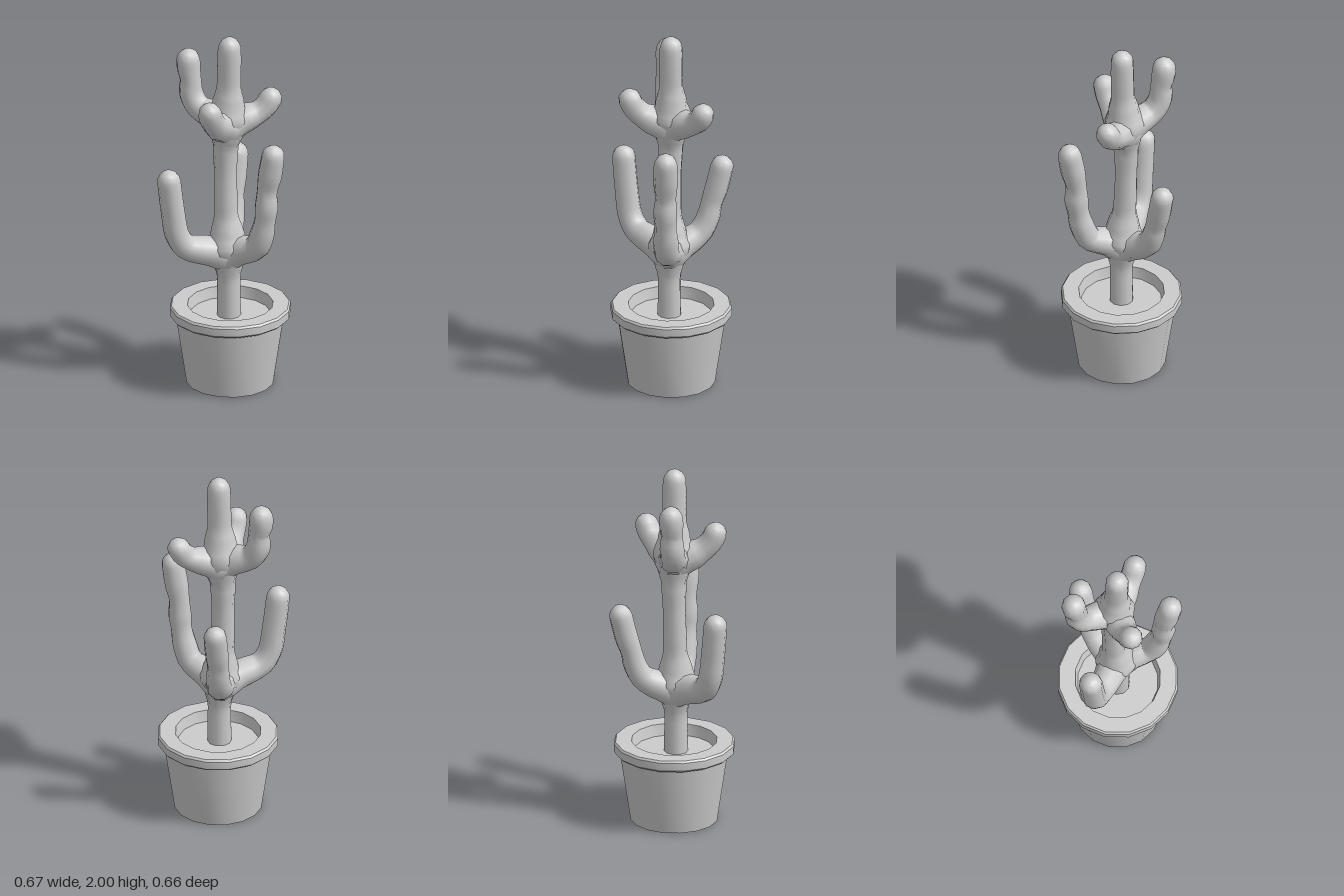
import * as THREE from 'three';
import { toCreasedNormals } from 'three/addons/utils/BufferGeometryUtils.js';

const SIDES = 10;
const material = new THREE.MeshStandardMaterial({ color: 0xcccccc, side: THREE.DoubleSide });

// Sweeps a round section along points [x, y, z, radius] and closes the end with a dome.
function limb(name, points, side) {
  const curve = new THREE.CatmullRomCurve3(points.map(([x, y, z]) => new THREE.Vector3(x, y, z)));
  const length = curve.getLength();
  const tipRadius = points[points.length - 1][3];
  const radiusAt = (u) => {
    const f = curve.getUtoTmapping(u) * (points.length - 1);
    const i = Math.min(Math.floor(f), points.length - 2);
    const k = THREE.MathUtils.smoothstep(f - i, 0, 1);
    return THREE.MathUtils.lerp(points[i][3], points[i + 1][3], k);
  };

  // Stations along the body, then shrinking stations over the dome
  const stations = [];
  const bodyEnd = 1 - tipRadius / length;
  const bodySteps = Math.ceil(length / 0.035);
  for (let i = 0; i <= bodySteps; i++) {
    const u = (bodyEnd * i) / bodySteps;
    stations.push([u, radiusAt(u)]);
  }
  for (let i = 1; i < 4; i++) {
    const a = (i * Math.PI) / 8;
    stations.push([bodyEnd + (1 - bodyEnd) * Math.sin(a), tipRadius * Math.cos(a)]);
  }

  const positions = [];
  const index = [];
  stations.forEach(([u, r], row) => {
    const centre = curve.getPointAt(u);
    const tangent = curve.getTangentAt(u);
    const normal = side.clone().addScaledVector(tangent, -side.dot(tangent)).normalize();
    const binormal = new THREE.Vector3().crossVectors(tangent, normal);
    for (let j = 0; j < SIDES; j++) {
      const a = (j / SIDES) * Math.PI * 2;
      const p = centre.clone()
        .addScaledVector(normal, Math.cos(a) * r)
        .addScaledVector(binormal, Math.sin(a) * r);
      positions.push(p.x, p.y, p.z);
      if (row > 0) {
        const k = (j + 1) % SIDES;
        const lo = (row - 1) * SIDES;
        const hi = row * SIDES;
        index.push(lo + j, lo + k, hi + j, lo + k, hi + k, hi + j);
      }
    }
  });
  const tip = curve.getPointAt(1);
  positions.push(tip.x, tip.y, tip.z);
  const last = (stations.length - 1) * SIDES;
  for (let j = 0; j < SIDES; j++) index.push(last + j, last + ((j + 1) % SIDES), last + SIDES);

  const geometry = new THREE.BufferGeometry();
  geometry.setAttribute('position', new THREE.Float32BufferAttribute(positions, 3));
  geometry.setIndex(index);
  geometry.computeVertexNormals();
  const mesh = new THREE.Mesh(geometry, material);
  mesh.name = name;
  return mesh;
}

// An arm leaves the trunk sideways, so its section is framed across its heading.
function arm(name, points) {
  const [a, b] = [points[0], points[points.length - 1]];
  return limb(name, points, new THREE.Vector3(b[2] - a[2], 0, a[0] - b[0]).normalize());
}

function createPot() {
  const pot = new THREE.Group();
  pot.name = 'pot';
  pot.position.set(-0.01, 0, -0.01);

  // Tapered wall, overhanging rim and inner wall
  const profile = [
    [0, 0], [0.235, 0], [0.292, 0.382], [0.314, 0.382], [0.325, 0.393],
    [0.325, 0.436], [0.316, 0.447], [0.23, 0.447], [0.213, 0.37],
  ].map(([r, y]) => new THREE.Vector2(r, y));
  const shell = new THREE.Mesh(toCreasedNormals(new THREE.LatheGeometry(profile, 16), 0.6), material);
  shell.name = 'potShell';

  const soil = new THREE.Mesh(new THREE.CircleGeometry(0.222, 16), material);
  soil.name = 'soil';
  soil.rotation.x = -Math.PI / 2;
  soil.position.y = 0.385;
  pot.add(shell, soil);
  return pot;
}

function createCactus() {
  const cactus = new THREE.Group();
  cactus.name = 'cactus';

  // Trunk, swelling where the two tiers of arms branch off
  cactus.add(limb('trunk', [
    [-0.012, 0.36, 0, 0.064], [-0.012, 0.6, 0, 0.062], [-0.015, 0.7, 0, 0.085],
    [-0.018, 0.78, 0, 0.118], [-0.022, 0.86, 0, 0.09], [-0.03, 0.97, 0, 0.064],
    [-0.037, 1.2, -0.003, 0.061], [-0.037, 1.36, -0.005, 0.068], [-0.03, 1.44, -0.006, 0.09],
    [-0.028, 1.53, -0.008, 0.112], [-0.022, 1.62, -0.008, 0.085], [-0.018, 1.72, -0.008, 0.064],
    [-0.015, 1.86, -0.008, 0.064], [-0.013, 2, -0.008, 0.06],
  ], new THREE.Vector3(1, 0, 0)));

  // Lower tier
  cactus.add(arm('lowerLeftArm', [
    [-0.02, 0.74, 0, 0.1], [0.08, 0.785, -0.005, 0.078], [0.165, 0.82, -0.006, 0.068],
    [0.205, 0.9, -0.006, 0.067], [0.228, 1, -0.006, 0.058], [0.238, 1.08, -0.006, 0.064],
    [0.24, 1.17, -0.008, 0.056], [0.26, 1.28, -0.01, 0.066], [0.287, 1.445, -0.014, 0.062],
  ]));
  cactus.add(arm('lowerFrontArm', [
    [-0.02, 0.74, 0, 0.1], [-0.085, 0.775, 0.1, 0.08], [-0.15, 0.81, 0.19, 0.07],
    [-0.18, 0.88, 0.23, 0.066], [-0.195, 1.02, 0.25, 0.064], [-0.213, 1.265, 0.272, 0.063],
  ]));
  cactus.add(arm('lowerBackArm', [
    [-0.02, 0.74, 0, 0.1], [-0.075, 0.78, -0.085, 0.078], [-0.115, 0.83, -0.155, 0.068],
    [-0.135, 0.91, -0.195, 0.063], [-0.145, 0.98, -0.21, 0.058], [-0.155, 1.07, -0.237, 0.063],
    [-0.168, 1.252, -0.278, 0.062],
  ]));

  // Upper tier
  cactus.add(arm('upperRightArm', [
    [-0.03, 1.49, -0.005, 0.1], [-0.11, 1.525, 0.01, 0.08], [-0.195, 1.56, 0.03, 0.068],
    [-0.238, 1.63, 0.036, 0.066], [-0.242, 1.71, 0.036, 0.058], [-0.256, 1.78, 0.036, 0.065],
    [-0.257, 1.882, 0.036, 0.063],
  ]));
  cactus.add(arm('upperBackArm', [
    [-0.03, 1.48, -0.005, 0.1], [0.03, 1.515, -0.08, 0.08], [0.085, 1.55, -0.15, 0.062],
    [0.115, 1.605, -0.19, 0.063], [0.125, 1.675, -0.202, 0.062],
  ]));
  cactus.add(arm('upperFrontArm', [
    [-0.028, 1.48, -0.005, 0.1], [-0.01, 1.515, 0.085, 0.08], [0.008, 1.56, 0.155, 0.064],
    [0.02, 1.62, 0.2, 0.063], [0.024, 1.7, 0.222, 0.062],
  ]));
  return cactus;
}

export function createModel() {
  const model = new THREE.Group();
  model.name = 'pottedCactus';
  model.add(createPot(), createCactus());
  return model;
}
